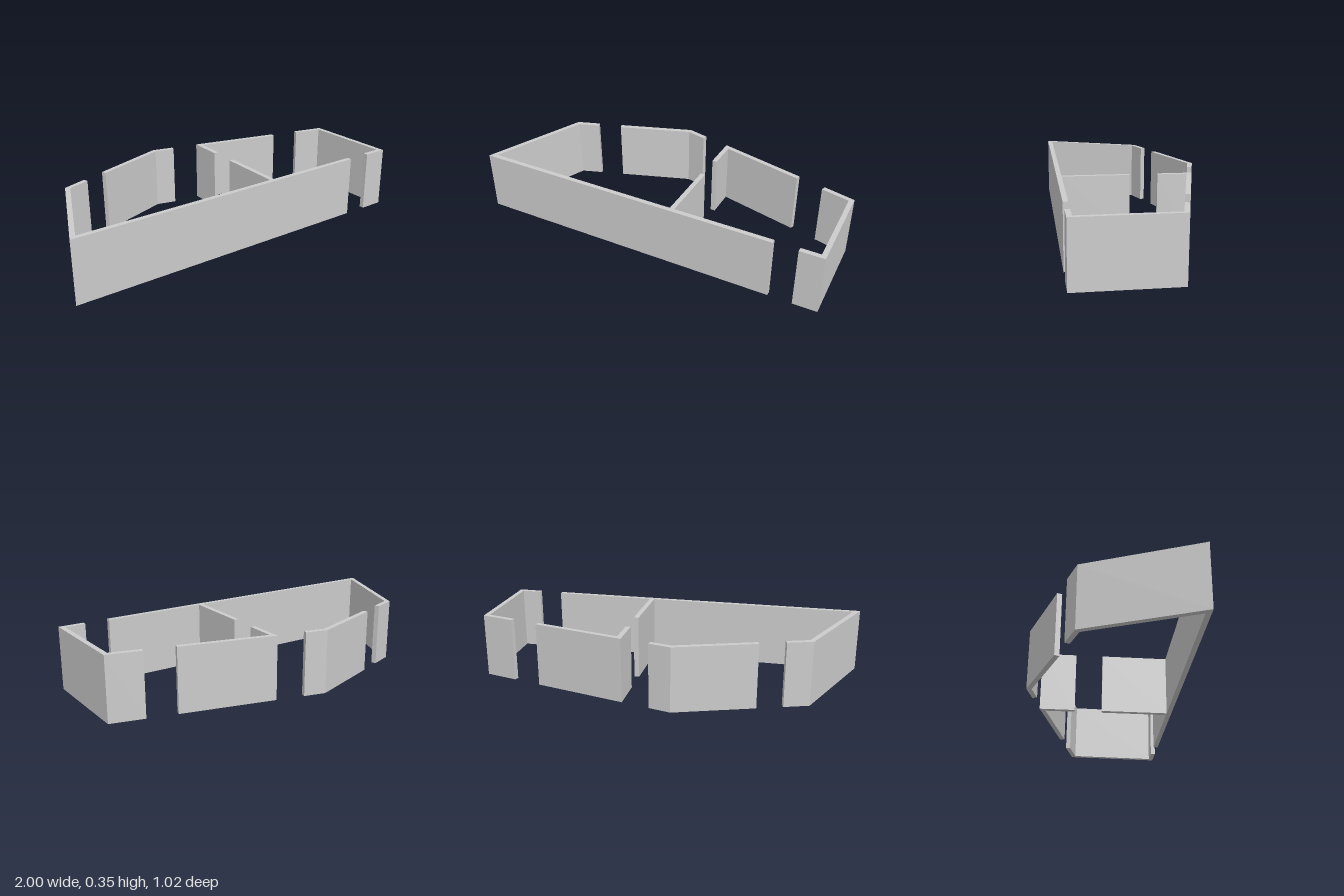
import * as THREE from 'three';

const HEIGHT = 0.35;
const THICKNESS = 0.027;

// Corners of the floor plan as [x, z], on the outer faces of the walls
const frontLeft = [-1, 0.51], sideLeft = [-0.906, -0.115];
const backLeft = [-0.3, -0.51], backRight = [0.853, -0.51], frontRight = [1, 0.022];

// Each run of wall between two doorways, with the room on its right-hand side
const RUNS = {
  frontAndSideWall: [[0.734, 0.087], frontLeft, sideLeft, [-0.789, -0.191]],
  angledBackWall: [[-0.671, -0.268], backLeft, [-0.177, -0.51]],
  backWallWithPartition: [[0.0275, -0.316], [-0.02, -0.51], [0.503, -0.51]],
  endWall: [[0.666, -0.51], backRight, frontRight, [0.866, 0.055]],
  partitionWall: [[0.153, 0.201], [0.0635, -0.165]],
};

// Unit normal pointing to the right of the step from a to b
function rightNormal(a, b) {
  return new THREE.Vector2(a[1] - b[1], b[0] - a[0]).normalize();
}

// Inner face of a run: every point moved inwards, mitred at the corners
function innerFace(path) {
  return path.map((p, i) => {
    const before = i > 0 ? rightNormal(path[i - 1], p) : null;
    const after = i < path.length - 1 ? rightNormal(p, path[i + 1]) : null;
    const n = before ?? after, m = after ?? before;
    const k = THICKNESS / (1 + n.dot(m));
    return [p[0] + (n.x + m.x) * k, p[1] + (n.y + m.y) * k];
  });
}

export function createModel() {
  const group = new THREE.Group();
  group.name = 'floorPlanWalls';
  const material = new THREE.MeshStandardMaterial({ color: 0xcccccc });

  for (const [name, path] of Object.entries(RUNS)) {
    const outline = [...path, ...innerFace(path).reverse()];
    const shape = new THREE.Shape(outline.map(([x, z]) => new THREE.Vector2(x, -z)));
    const geometry = new THREE.ExtrudeGeometry(shape, { depth: HEIGHT, bevelEnabled: false });
    geometry.rotateX(-Math.PI / 2);
    const wall = new THREE.Mesh(geometry, material);
    wall.name = name;
    group.add(wall);
  }
  return group;
}
